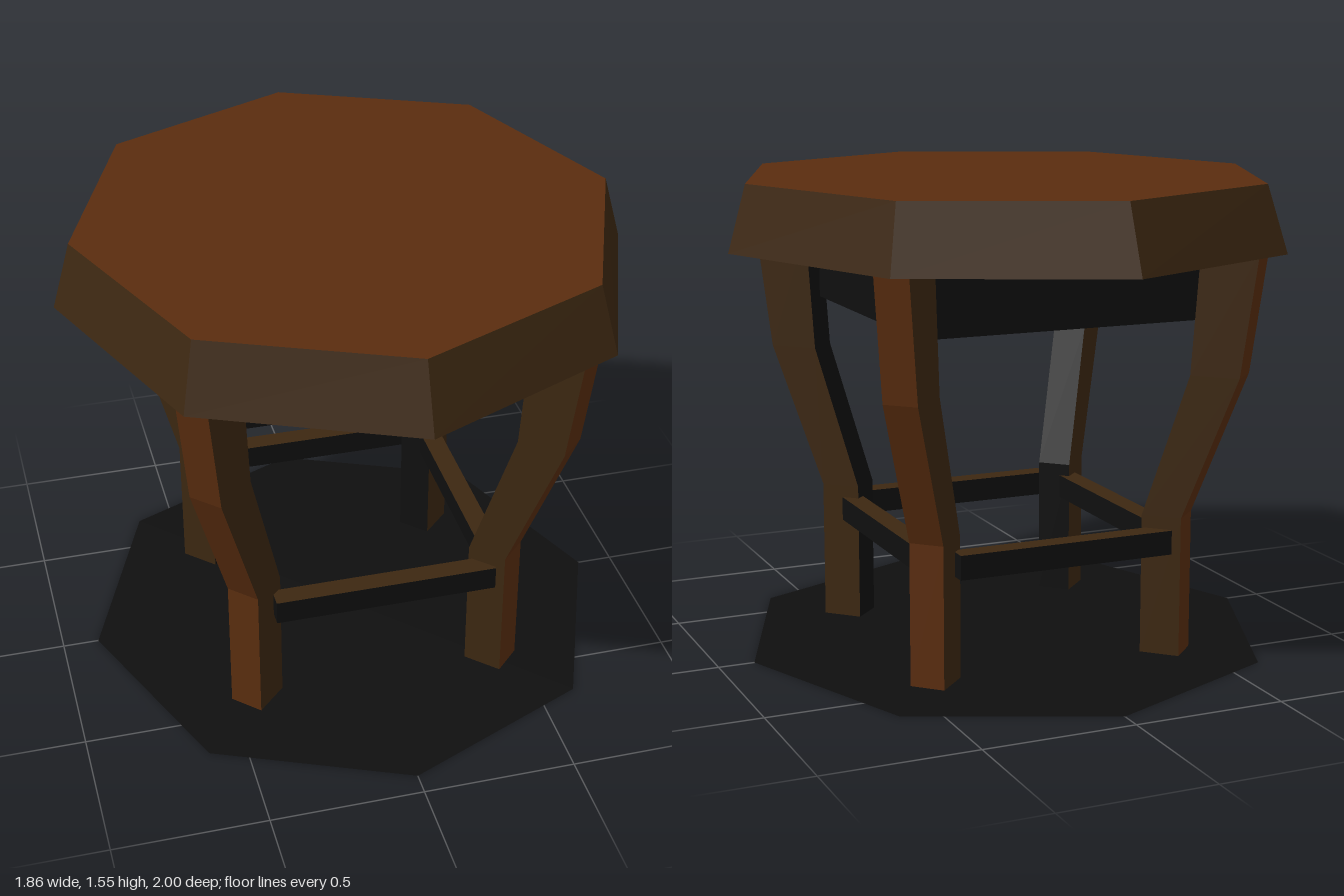
import * as THREE from 'three';

export function createModel() {
  const group = new THREE.Group();
  const mat = (name, color, extra = {}) =>
    Object.assign(new THREE.MeshStandardMaterial({ color, flatShading: true, ...extra }), { name });
  const red = mat('reddish wood', 0x5a2d0f);
  const brown = mat('dark wood', 0x3c2711);
  const black = mat('near black', 0x0f0f0f, { side: THREE.DoubleSide });

  const add = (name, geometry, material, x = 0, y = 0, z = 0, turn = 0) => {
    const mesh = new THREE.Mesh(geometry, material);
    mesh.name = name;
    mesh.position.set(x, y, z);
    mesh.rotation.y = turn;
    group.add(mesh);
  };

  // Octagonal top, a little longer than wide, with sloping edges
  const top = new THREE.CylinderGeometry(0.916, 1, 0.215, 8).toNonIndexed();
  const tp = top.attributes.position;
  for (let i = 0; i < tp.count; i++) {
    tp.setX(i, tp.getX(i) * (tp.getY(i) > 0 ? 0.95 : 0.93));
  }
  top.computeVertexNormals();
  add('tableTop', top, [brown, red, black], 0, 1.4475, 0);

  // Apron box under the top
  add('apron', new THREE.BoxGeometry(0.95, 0.23, 0.95), black, 0, 1.226, 0);

  // Bent legs on the diagonals: [height, inner radius, outer radius]
  const rows = [[0, 0.51, 0.643], [0.466, 0.51, 0.643], [0.94, 0.665, 0.827], [1.345, 0.693, 0.883]];
  const leg = new THREE.BoxGeometry(1, 1, 0.115, 1, 3, 1).toNonIndexed();
  const lp = leg.attributes.position;
  for (let i = 0; i < lp.count; i++) {
    const [y, inner, outer] = rows[Math.round((lp.getY(i) + 0.5) * 3)];
    lp.setXYZ(i, lp.getX(i) > 0 ? outer : inner, y, lp.getZ(i));
  }
  leg.computeVertexNormals();
  for (let k = 0; k < 4; k++) {
    add('leg', leg, [red, black, black, black, brown, brown], 0, 0, 0, Math.PI / 4 + k * Math.PI / 2);
  }

  // Stretchers between the legs, with dark sides and wooden upper faces
  const barMaterials = [black, black, brown, black, black, black];
  for (const s of [1, -1]) {
    add('longStretcher', new THREE.BoxGeometry(0.74, 0.08, 0.07), barMaterials, s * 0.02, 0.385, s * 0.445);
    add('sideStretcher', new THREE.BoxGeometry(0.07, 0.08, 0.75), barMaterials, s * 0.41, 0.385, s * -0.015);
  }

  // Flat octagonal floor sheet
  const floor = new THREE.CircleGeometry(1, 8);
  floor.scale(0.88, 0.925, 1);
  floor.rotateX(-Math.PI / 2);
  add('floorSheet', floor, black);

  return group;
}
